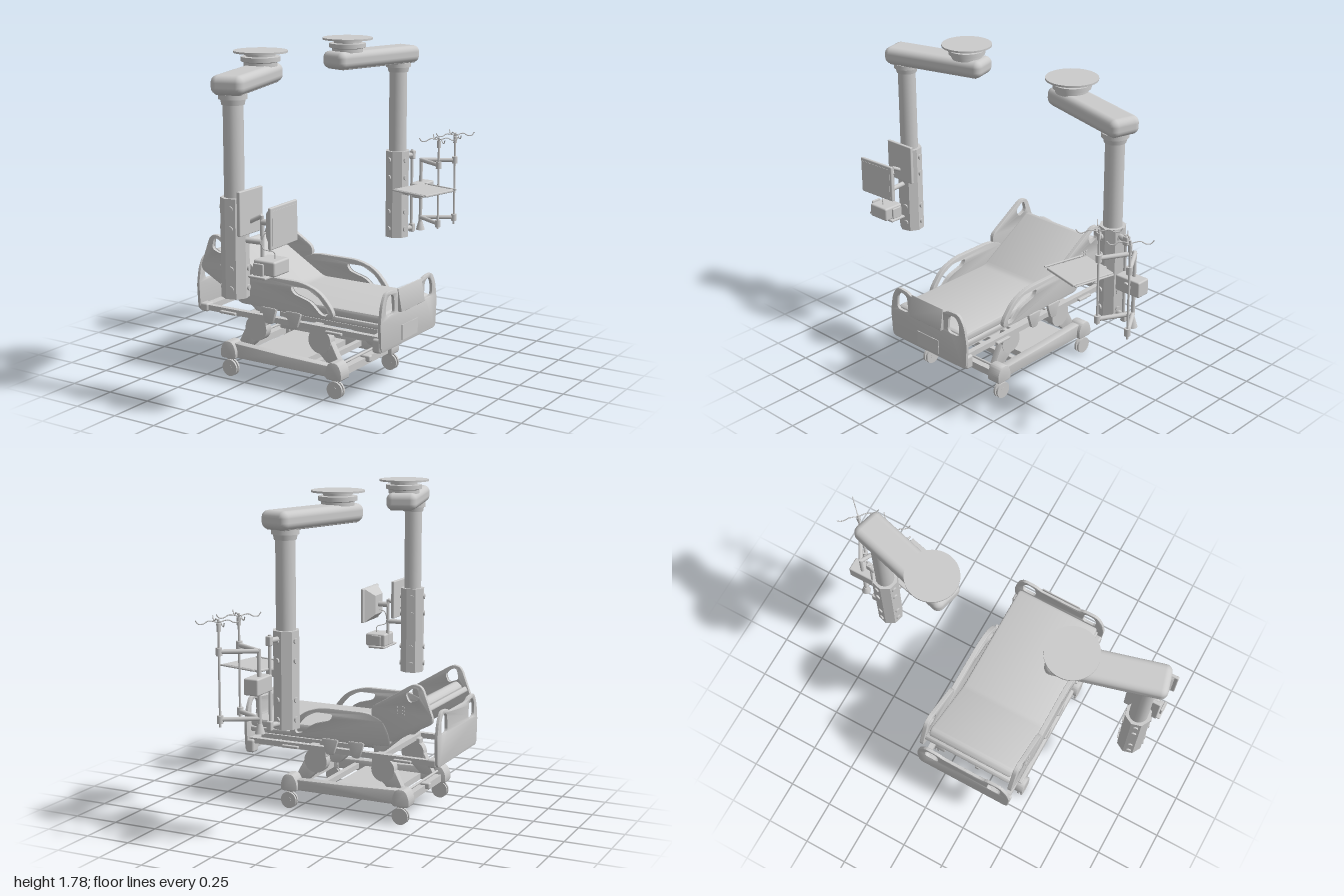
import * as THREE from 'three';
import { toCreasedNormals } from 'three/addons/utils/BufferGeometryUtils.js';
import { RoundedBoxGeometry } from 'three/addons/geometries/RoundedBoxGeometry.js';

const grey = new THREE.MeshStandardMaterial({ color: 0xcccccc, side: THREE.DoubleSide });
const V = (x, y, z) => new THREE.Vector3(x, y, z);

function add(parent, name, geo, x = 0, y = 0, z = 0) {
  const m = new THREE.Mesh(geo, grey);
  m.name = name;
  m.position.set(x, y, z);
  parent.add(m);
  return m;
}
const box = (p, name, w, h, d, x, y, z, r = 0) =>
  add(p, name, r ? new RoundedBoxGeometry(w, h, d, 3, r) : new THREE.BoxGeometry(w, h, d), x, y, z);
const cyl = (p, name, r, h, x, y, z, r2 = r, n = 32) =>
  add(p, name, new THREE.CylinderGeometry(r, r2, h, n), x, y, z);

// Round bar between two points
function rod(p, name, a, b, r = 0.006) {
  const d = b.clone().sub(a);
  const m = add(p, name, new THREE.CylinderGeometry(r, r, d.length(), 12));
  m.position.copy(a).addScaledVector(d, 0.5);
  m.quaternion.setFromUnitVectors(V(0, 1, 0), d.normalize());
  return m;
}

// Closed outline with rounded corners
function outline(pts, r, Type = THREE.Shape) {
  const s = new Type();
  const P = pts.map(([x, y]) => new THREE.Vector2(x, y));
  P.forEach((c, i) => {
    const a = P[(i + P.length - 1) % P.length], b = P[(i + 1) % P.length];
    const toward = q => c.clone().add(q.clone().sub(c).setLength(Math.min(r, q.distanceTo(c) * 0.48)));
    const s0 = toward(a), s1 = toward(b);
    i ? s.lineTo(s0.x, s0.y) : s.moveTo(s0.x, s0.y);
    s.quadraticCurveTo(c.x, c.y, s1.x, s1.y);
  });
  s.closePath();
  return s;
}

// Plate of given thickness centred on its plane, with bevelled edges
function plate(pts, r, depth, holes = [], bevel = 0.004) {
  const s = outline(pts, r);
  s.holes = holes.map(h => outline(h, 0.025, THREE.Path));
  const g = new THREE.ExtrudeGeometry(s, {
    depth: depth - 2 * bevel, bevelThickness: bevel, bevelSize: bevel, bevelOffset: -bevel,
    bevelSegments: 2, curveSegments: 8,
  });
  return toCreasedNormals(g.translate(0, 0, bevel - depth / 2), 0.6);
}

function makeBase(bed) {
  const base = new THREE.Group();
  base.name = 'base';
  bed.add(base);
  for (const s of [-1, 1]) {
    for (const x of [-0.385, 0.285]) {
      // Corner housing and twin caster
      add(base, 'cornerHousing', plate([[-0.05, 0.1], [0.05, 0.1], [0.048, 0.155], [0.025, 0.195], [-0.025, 0.195], [-0.048, 0.155]], 0.02, 0.08), x, 0, s * 0.255);
      for (const dz of [-0.01, 0.01])
        cyl(base, 'casterWheel', 0.046, 0.011, x + 0.005, 0.047, s * 0.275 + dz).rotation.x = Math.PI / 2;
      cyl(base, 'casterHub', 0.016, 0.032, x + 0.005, 0.047, s * 0.275).rotation.x = Math.PI / 2;
      box(base, 'casterFork', 0.03, 0.06, 0.008, x, 0.075, s * 0.275);
    }
    // Long side beam
    add(base, 'sideBeam', plate([[-0.36, 0.105], [0.26, 0.105], [0.26, 0.165], [-0.05, 0.172], [-0.36, 0.185]], 0.01, 0.05), 0, 0, s * 0.25);
    // Lifting legs with round knee joints
    for (const [kx, fx] of [[-0.25, -0.38], [0.155, 0.29]]) {
      const d = Math.sign(kx - fx);
      add(base, 'liftLeg', plate([[fx, 0.15], [fx + d * 0.08, 0.15], [kx + d * 0.035, 0.23], [kx - d * 0.035, 0.335]], 0.012, 0.04), 0, 0, s * 0.2);
      cyl(base, 'kneeJoint', 0.068, 0.046, kx, 0.272, s * 0.2).rotation.x = Math.PI / 2;
      box(base, 'kneeBracket', 0.11, 0.06, 0.046, kx + d * 0.01, 0.325, s * 0.2, 0.008);
    }
  }
  for (const x of [-0.385, 0.285]) {
    box(base, 'crossBeam', 0.05, 0.04, 0.46, x, 0.13, 0);
    rod(base, 'brakeBar', V(x, 0.168, -0.24), V(x, 0.168, 0.24), 0.007);
    box(base, 'brakePedal', 0.06, 0.035, 0.03, x + Math.sign(x) * 0.02, 0.145, 0, 0.008);
  }
  box(base, 'baseTray', 0.34, 0.035, 0.4, -0.12, 0.13, 0);
  box(base, 'baseCrossTube', 0.03, 0.03, 0.46, 0.12, 0.135, 0);
}

function makeBoard(bed, name, x, y0, y1) {
  const h = [[0.15, y1 - 0.13], [0.235, y1 - 0.13], [0.235, y1 - 0.06], [0.21, y1 - 0.022], [0.16, y1 - 0.03]];
  const half = [[0.28, y0], [0.29, y0 + 0.15], [0.272, y1 - 0.06], [0.235, y1], [0.15, y1 - 0.005], [0.125, y1 - 0.025]];
  const flip = a => a.map(([u, v]) => [-u, v]).reverse();
  const g = plate([...half, ...flip(half)], 0.03, 0.018, [h, flip(h)]);
  add(bed, name, g, x).rotation.y = -Math.PI / 2;
}

function makeBed(root) {
  const bed = new THREE.Group();
  bed.name = 'bed';
  bed.position.z = 0.167;
  root.add(bed);
  makeBase(bed);

  // Frame under the mattress
  for (const s of [-1, 1]) {
    box(bed, 'frameRail', 1.12, 0.03, 0.03, -0.015, 0.355, s * 0.255);
    box(bed, 'headBumper', 0.05, 0.045, 0.06, -0.555, 0.355, s * 0.25, 0.01);
    box(bed, 'footBumper', 0.05, 0.075, 0.06, 0.535, 0.325, s * 0.255, 0.012);
    box(bed, 'innerRail', 0.6, 0.025, 0.025, 0.2, 0.375, s * 0.2);
  }
  for (const x of [-0.55, -0.25, 0.155, 0.52]) box(bed, 'frameCrossBar', 0.045, 0.03, 0.5, x, 0.355, 0);
  cyl(bed, 'liftMotor', 0.03, 0.3, -0.04, 0.35, 0).rotation.z = Math.PI / 2;
  box(bed, 'controlBox', 0.16, 0.05, 0.12, 0.36, 0.37, 0, 0.01);

  // Sleeping surface, folded up at the head end
  add(bed, 'deck', plate([[0.54, 0.405], [0.54, 0.432], [-0.14, 0.432], [-0.53, 0.662], [-0.545, 0.635], [-0.15, 0.405]], 0.01, 0.52));
  add(bed, 'mattress', plate([[0.545, 0.43], [0.545, 0.478], [-0.12, 0.478], [-0.485, 0.693], [-0.525, 0.653], [-0.14, 0.43]], 0.025, 0.505, [], 0.014));
  for (const s of [-1, 1])
    add(bed, 'backrestSupport', plate([[-0.36, 0.46], [-0.2, 0.325], [-0.185, 0.42], [-0.3, 0.5]], 0.01, 0.03), 0, 0, s * 0.2);

  makeBoard(bed, 'headboard', -0.583, 0.335, 0.635);
  makeBoard(bed, 'footboard', 0.556, 0.29, 0.6);
  // Wedge console on the footboard
  add(bed, 'footConsole', plate([[0.56, 0.47], [0.588, 0.472], [0.566, 0.592], [0.56, 0.592]], 0.004, 0.24, [], 0.002));
  box(bed, 'footPanel', 0.006, 0.08, 0.16, 0.566, 0.35, 0);

  // Side rails, mirrored
  const headRail = plate([[-0.57, 0.575], [-0.5, 0.765], [-0.45, 0.775], [-0.205, 0.625], [-0.22, 0.52], [-0.315, 0.44]], 0.035, 0.024,
    [[[-0.492, 0.69], [-0.478, 0.757], [-0.445, 0.755], [-0.4, 0.72], [-0.425, 0.665]]]);
  const midRail = plate([[-0.32, 0.42], [-0.32, 0.47], [-0.28, 0.56], [-0.19, 0.592], [0.09, 0.592], [0.2, 0.555], [0.28, 0.465], [0.28, 0.42]], 0.05, 0.026,
    [[[0.01, 0.565], [0.12, 0.567], [0.2, 0.525], [0.25, 0.465], [0.25, 0.43], [0.205, 0.43], [0.14, 0.49], [0.03, 0.52]]]);
  for (const s of [-1, 1]) {
    add(bed, 'headSideRail', headRail, 0, 0, s * 0.273);
    add(bed, 'middleSideRail', midRail, 0, 0, s * 0.273);
    // Raised keypad buttons
    for (let i = 0; i < 9; i++)
      box(bed, 'railButton', 0.013, 0.009, 0.004, -0.395 + (i % 3) * 0.019, 0.605 + Math.floor(i / 3) * 0.019, s * 0.286);
    for (const x of [-0.12, 0.035])
      add(bed, 'railHinge', plate([[x - 0.05, 0.425], [x - 0.022, 0.335], [x + 0.022, 0.335], [x + 0.05, 0.425]], 0.015, 0.02), 0, 0, s * 0.28);
    for (const x of [-0.39, 0.28]) box(bed, 'accessoryHolder', 0.1, 0.014, 0.02, x, 0.35, s * 0.28, 0.004);
  }
}

// Ceiling pendant: the arm runs along local +z from the pivot to the column
function makePendant(root, name, x, z, angle) {
  const p = new THREE.Group();
  p.name = name;
  p.position.set(x, 0, z);
  p.rotation.y = angle;
  root.add(p);
  const mount = [[0, 1.7], [0.085, 1.7], [0.085, 1.72], [0.1, 1.725], [0.1, 1.748], [0.075, 1.75], [0.075, 1.768], [0.137, 1.768], [0.137, 1.778], [0, 1.778]];
  add(p, 'ceilingMount', toCreasedNormals(new THREE.LatheGeometry(mount.map(a => new THREE.Vector2(...a)), 48), 0.5));
  box(p, 'swingArm', 0.17, 0.095, 0.605, 0, 1.66, 0.183, 0.036);
  box(p, 'armBase', 0.13, 0.02, 0.55, 0, 1.62, 0.183, 0.008);
  const c = 0.387;
  cyl(p, 'upperCollar', 0.07, 0.025, 0, 1.6, c);
  cyl(p, 'lowerCollar', 0.062, 0.03, 0, 1.575, c, 0.056);
  cyl(p, 'column', 0.05, 0.48, 0, 1.335, c, 0.05, 16);
  const h = add(p, 'serviceHousing', toCreasedNormals(new THREE.CylinderGeometry(0.07, 0.07, 0.5, 8), 0.3), 0, 0.86, c);
  h.rotation.y = Math.PI / 8;
  // Gas and power outlets on the faces
  for (let i = 0; i < 4; i++) {
    const a = i * Math.PI / 2, sx = Math.sin(a), sz = Math.cos(a);
    for (const y of [0.66, 0.76, 0.96, 1.06]) {
      const o = cyl(p, 'outlet', 0.015, 0.012, sx * 0.067, y, c + sz * 0.067);
      o.rotation.set(Math.PI / 2, 0, -a);
    }
  }
}

function makeMonitorStation(root) {
  const g = new THREE.Group();
  g.name = 'monitorStation';
  root.add(g);
  // Main screen with a tapered back
  const m = new THREE.Group();
  m.name = 'monitor';
  m.position.set(0.262, 1.0, 0.866);
  m.rotation.y = 0.04;
  g.add(m);
  box(m, 'screen', 0.018, 0.205, 0.24, 0, 0, 0, 0.006);
  box(m, 'screenFace', 0.002, 0.17, 0.21, 0.01, 0, 0);
  const back = new THREE.CylinderGeometry(0.08, 0.14, 0.05, 4, 1).rotateY(Math.PI / 4).rotateZ(Math.PI / 2);
  add(m, 'screenBack', toCreasedNormals(back, 0.3), -0.034, 0, 0);
  box(g, 'sidePanel', 0.02, 0.22, 0.19, 0.075, 1.045, 0.875, 0.005);
  // Support arm and post
  rod(g, 'supportArm', V(0.04, 0.9, 0.885), V(0.145, 0.9, 0.875), 0.014);
  rod(g, 'supportPost', V(0.145, 0.76, 0.872), V(0.145, 1.03, 0.872), 0.01);
  rod(g, 'screenArm', V(0.145, 1.0, 0.872), V(0.22, 1.0, 0.868), 0.016);
  rod(g, 'panelArm', V(0.03, 0.97, 0.885), V(0.145, 1.03, 0.872), 0.011);
  box(g, 'deviceBox', 0.125, 0.075, 0.13, 0.2, 0.79, 0.875, 0.01);
  box(g, 'deviceTray', 0.1, 0.012, 0.19, 0.185, 0.75, 0.885, 0.004);
  for (const z of [0.8, 0.97]) box(g, 'deviceHandle', 0.06, 0.06, 0.012, 0.19, 0.79, z, 0.004);
  const cable = new THREE.CatmullRomCurve3([V(0.22, 0.97, 0.87), V(0.18, 0.95, 0.9), V(0.175, 0.88, 0.91), V(0.22, 0.86, 0.88), V(0.22, 0.82, 0.875)]);
  add(g, 'cable', new THREE.TubeGeometry(cable, 30, 0.003, 8));
}

function makeInfusionStation(root) {
  const g = new THREE.Group();
  g.name = 'infusionStation';
  root.add(g);
  // Equipment shelf with side rails, turned with the column
  const s = new THREE.Group();
  s.name = 'shelf';
  s.position.set(0.215, 0.905, -0.59);
  s.rotation.y = -0.24;
  g.add(s);
  box(s, 'shelfTop', 0.25, 0.014, 0.23, 0, 0, 0, 0.005);
  for (const k of [-1, 1]) {
    rod(s, 'shelfRail', V(-0.11, 0.004, k * 0.132), V(0.125, 0.004, k * 0.132), 0.005);
    for (const x of [-0.09, 0.1]) rod(s, 'railPost', V(x, 0, k * 0.11), V(x, 0.004, k * 0.132), 0.004);
  }
  box(s, 'shelfBracket', 0.1, 0.04, 0.06, -0.14, -0.02, 0, 0.006);

  // Upright post carried by two arms from the column
  const post = [0.068, -0.82];
  for (const y of [0.64, 1.07]) {
    rod(g, 'columnArm', V(0.025, y, -0.67), V(0.05, y, -0.745), 0.014);
    box(g, 'armClamp', 0.03, 0.05, 0.03, 0.05, y, -0.75, 0.006);
  }
  rod(g, 'mountPost', V(0.05, 0.62, -0.745), V(0.05, 1.1, -0.745), 0.008);
  rod(g, 'mountLink', V(0.05, 0.86, -0.745), V(post[0], 0.86, post[1]), 0.012);
  rod(g, 'uprightPost', V(post[0], 0.64, post[1]), V(post[0], 1.04, post[1]), 0.01);
  cyl(g, 'postFoot', 0.012, 0.05, post[0], 0.64, post[1], 0.026);
  box(g, 'pumpBox', 0.08, 0.085, 0.15, post[0] + 0.01, 0.86, -0.815, 0.008);
  cyl(g, 'pumpDial', 0.024, 0.02, post[0] + 0.055, 0.86, -0.815).rotation.z = Math.PI / 2;

  // Two drip poles with crossed hooks
  for (const [z, y0] of [[-0.92, 0.65], [-0.725, 0.66]]) {
    for (const y of [0.69, 1.03]) {
      rod(g, 'poleArm', V(post[0], y, post[1]), V(0.235, y, z), 0.012);
      cyl(g, 'poleClamp', 0.016, 0.04, 0.235, y, z);
    }
    rod(g, 'dripPole', V(0.235, y0, z), V(0.235, 1.19, z), 0.006);
    cyl(g, 'poleGrip', 0.011, 0.04, 0.235, 1.15, z);
    for (let i = 0; i < 4; i++) {
      const a = Math.PI / 4 + i * Math.PI / 2, at = (r, y) => V(0.235 + r * Math.cos(a), y, z + r * Math.sin(a));
      const hook = new THREE.CatmullRomCurve3([at(0, 1.175), at(0.05, 1.185), at(0.075, 1.172), at(0.1, 1.172), at(0.115, 1.19)]);
      add(g, 'dripHook', new THREE.TubeGeometry(hook, 16, 0.003, 6));
    }
  }
}

export function createModel() {
  const root = new THREE.Group();
  root.name = 'hospitalBedWithPendants';
  makeBed(root);
  makePendant(root, 'frontPendant', -0.11, 0.515, 0.27);
  makePendant(root, 'rearPendant', -0.085, -0.26, Math.PI - 0.27);
  makeMonitorStation(root);
  makeInfusionStation(root);
  return root;
}
